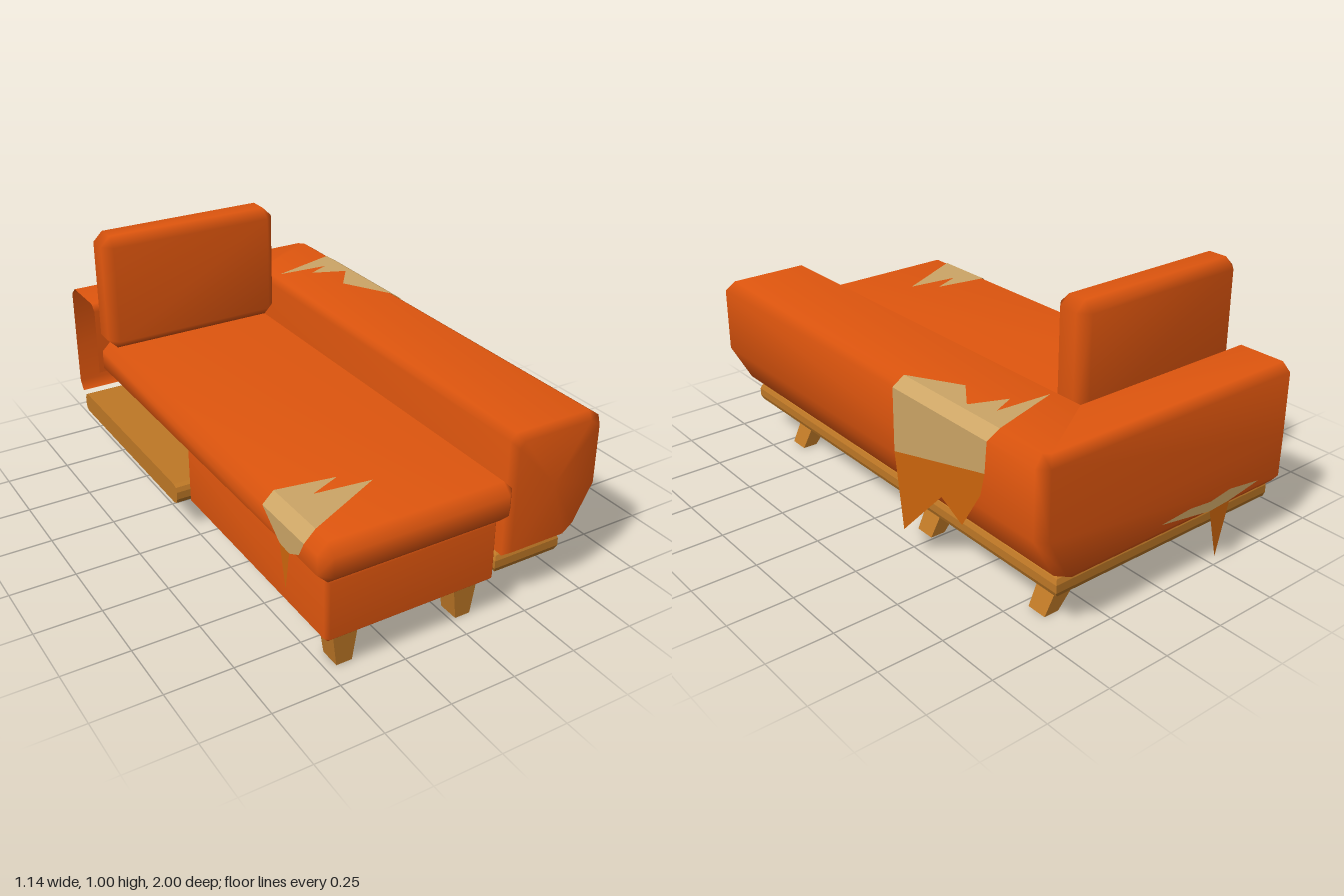
import * as THREE from 'three';
import { mergeVertices } from 'three/addons/utils/BufferGeometryUtils.js';
import { ConvexGeometry } from 'three/addons/geometries/ConvexGeometry.js';

const makeMat = (name, color, side = THREE.FrontSide) => {
  const m = new THREE.MeshStandardMaterial({ color, side });
  m.name = name;
  return m;
};

// Box between two corners with chamfered edges and smooth normals
function chamferBox([x0, y0, z0], [x1, y1, z1], c) {
  const half = new THREE.Vector3(x1 - x0, y1 - y0, z1 - z0).multiplyScalar(0.5);
  const pts = [];
  for (const sx of [-1, 1]) for (const sy of [-1, 1]) for (const sz of [-1, 1]) {
    for (let axis = 0; axis < 3; axis++) {
      const inset = [c, c, c];
      inset[axis] = 0;
      pts.push(new THREE.Vector3(
        sx * (half.x - inset[0]), sy * (half.y - inset[1]), sz * (half.z - inset[2])));
    }
  }
  let g = new ConvexGeometry(pts);
  g.deleteAttribute('normal');
  g = mergeVertices(g, 1e-4);
  g.computeVertexNormals();
  g.translate((x0 + x1) / 2, (y0 + y1) / 2, (z0 + z1) / 2);
  return g;
}

// L-shaped hollow back and arm: one profile swept round the corner, closed at the front
function backAndArm() {
  const armX = [0.185, 0.185, 0.21, 0.52, 0.565, 0.565, 0.48, 0.435];
  const backZ = [-0.755, -0.755, -0.78, -0.965, -1, -1, -0.998, -0.97];
  const y = [0.385, 0.655, 0.68, 0.68, 0.65, 0.4, 0.245, 0.21];
  const cut = [0, 0, 0, 0.02, 0.035, 0.035, 0.03, 0.03];
  const yArm = y.map((v, j) => (j === 0 ? 0.21 : v));
  const cx = 0.37, cy = 0.45, k = 0.9;
  const n = y.length;
  const rings = [
    y.map((v, j) => [-0.57, v, backZ[j]]),
    y.map((v, j) => [armX[j] - cut[j], v, backZ[j]]),
    y.map((v, j) => [armX[j], v, backZ[j] + cut[j]]),
    yArm.map((v, j) => [armX[j], v, 0.93]),
    yArm.map((v, j) => [cx + (armX[j] - cx) * k, cy + (v - cy) * k, 0.96]),
  ];
  const pos = rings.flat(2), index = [];
  for (let i = 0; i < rings.length - 1; i++) {
    for (let j = 0; j < n - 1; j++) {
      const a = i * n + j, b = a + n;
      index.push(a, b, a + 1, b, b + 1, a + 1);
    }
  }
  const last = (rings.length - 1) * n, centre = rings.length * n;
  pos.push(cx, cy, 0.96);
  for (let j = 0; j < n; j++) index.push(centre, last + (j + 1) % n, last + j);
  // underside of the front lip
  index.push(last - 1, last, last - n, last - 1, last + n - 1, last);
  const g = new THREE.BufferGeometry();
  g.setAttribute('position', new THREE.Float32BufferAttribute(pos, 3));
  g.setIndex(index);
  g.computeVertexNormals();
  return g;
}

// L-shaped wooden platform, bevelled except at its cut left end
function platformGeometry() {
  const b = 0.025;
  const outline = [[-0.57, -0.95], [0.45, -0.95], [0.45, 0.92], [0.17, 0.92], [0.17, -0.04], [-0.57, -0.04]];
  const shape = new THREE.Shape(outline.map(([x, z]) => new THREE.Vector2(x, z)));
  const g = new THREE.ExtrudeGeometry(shape, {
    depth: 0.08 - 2 * b, bevelEnabled: true, bevelThickness: b, bevelSize: b, bevelOffset: -b, bevelSegments: 2,
  });
  g.rotateX(Math.PI / 2);
  g.translate(0, 0.21 - b, 0);
  const p = g.attributes.position;
  for (let i = 0; i < p.count; i++) if (p.getX(i) < -0.5) p.setX(i, -0.57);
  g.computeVertexNormals();
  return g;
}

// Tapered leg, optionally splayed sideways
function legGeometry(topX, bottomX, z, height) {
  const g = new THREE.BoxGeometry(1, 1, 1);
  const p = g.attributes.position;
  for (let i = 0; i < p.count; i++) {
    const top = p.getY(i) > 0;
    p.setXYZ(i,
      (top ? topX : bottomX) + p.getX(i) * (top ? 0.1 : 0.06),
      top ? height : 0,
      z + p.getZ(i) * (top ? 0.092 : 0.08));
  }
  g.computeVertexNormals();
  return g;
}

// Flat ragged sheet: 2D outline placed in space by a mapping rule
function sheet(outline, place) {
  const g = new THREE.ShapeGeometry(new THREE.Shape(outline.map(([a, b]) => new THREE.Vector2(a, b))));
  const p = g.attributes.position;
  for (let i = 0; i < p.count; i++) p.setXYZ(i, ...place(p.getX(i), p.getY(i)));
  g.computeVertexNormals();
  return g;
}

export function createModel() {
  const model = new THREE.Group();
  model.name = 'tornSofa';
  const fabric = makeMat('orange upholstery', 0xe0560e, THREE.DoubleSide);
  const wood = makeMat('wood', 0xbe7826);
  const padding = makeMat('exposed padding', 0xcca566, THREE.DoubleSide);
  const flap = makeMat('torn flap', 0xce660c, THREE.DoubleSide);
  const add = (name, geometry, material) => {
    const mesh = new THREE.Mesh(geometry, material);
    mesh.name = name;
    model.add(mesh);
  };

  // Upholstered body
  add('backAndArm', backAndArm(), fabric);
  add('seatCushion', chamferBox([-0.565, 0.385, -0.75], [0.18, 0.535, 1], 0.038), fabric);
  add('backCushion', chamferBox([-0.565, 0.535, -0.75], [0.18, 1.003, -0.6], 0.038), fabric);
  add('seatBase', chamferBox([-0.53, 0.145, -0.02], [0.138, 0.39, 0.96], 0.015), fabric);

  // Wooden platform and legs
  add('platform', platformGeometry(), wood);
  for (const x of [-0.43, 0.05]) add('frontLeg', legGeometry(x, x, 0.87, 0.148), wood);
  for (const z of [0.685, -0.2, -0.82]) add('splayedLeg', legGeometry(0.3, 0.385, z, 0.128), wood);

  // Tear over the arm: top, bevel, side and hanging flap
  add('armTearTop', sheet([[0.52, -0.245], [0.41, -0.44], [0.495, -0.555], [0.36, -0.61],
    [0.45, -0.65], [0.235, -0.665], [0.52, -0.75]], (x, z) => [x, 0.684, z]), padding);
  add('armTearEdge', sheet([[0, -0.245], [1, -0.245], [1, -0.745], [0, -0.75]],
    (t, z) => [0.52 + 0.048 * t, 0.684 - 0.032 * t, z]), padding);
  add('armTearSide', sheet([[-0.245, 0.652], [-0.245, 0.41], [-0.735, 0.535], [-0.745, 0.652]],
    (z, y) => [0.568, y, z]), padding);
  add('armFlap', sheet([[-0.245, 0.41], [-0.29, 0.12], [-0.51, 0.35], [-0.62, 0.295],
    [-0.715, 0.45], [-0.735, 0.535]], (z, y) => [0.568, y, z]), flap);

  // Tear over the front corner of the seat
  add('seatTearTop', sheet([[-0.527, 0.63], [-0.31, 0.665], [-0.43, 0.715], [-0.22, 0.74],
    [-0.527, 0.89]], (x, z) => [x, 0.539, z]), padding);
  add('seatTearEdge', sheet([[0, 0.63], [1, 0.63], [1, 0.89], [0, 0.89]],
    (t, z) => [-0.527 - 0.042 * t, 0.539 - 0.041 * t, z]), padding);
  add('seatTearSide', sheet([[0.63, 0.498], [0.89, 0.498], [0.86, 0.44], [0.8, 0.41], [0.74, 0.415]],
    (z, y) => [-0.569, y, z]), padding);
  add('seatFlap', sheet([[0.8, 0.41], [0.775, 0.26], [0.74, 0.415]], (z, y) => [-0.569, y, z]), flap);

  // Tear low on the rear panel
  add('rearTear', sheet([[0.04, 0.275], [-0.1, 0.285], [-0.2, 0.275], [-0.3, 0.29], [-0.45, 0.27],
    [-0.3, 0.245], [-0.2, 0.238]], (x, y) => [x, y, -1.004]), padding);
  add('rearFlap', sheet([[-0.3, 0.245], [-0.247, 0.04], [-0.2, 0.238]], (x, y) => [x, y, -1.004]), flap);

  return model;
}
